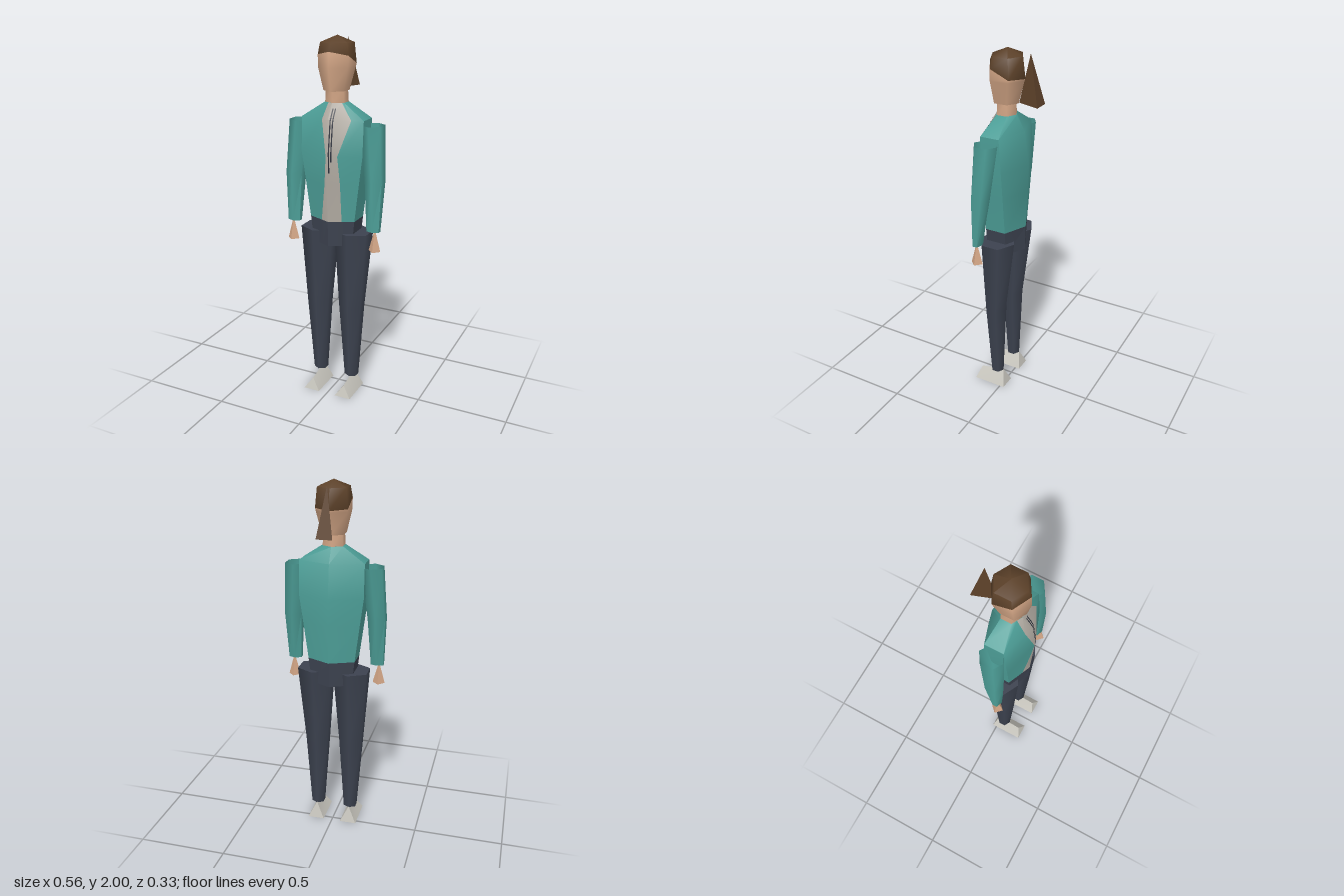
import * as THREE from 'three';
import { toCreasedNormals } from 'three/addons/utils/BufferGeometryUtils.js';

const mat = (name, color) => Object.assign(new THREE.MeshStandardMaterial({ color }), { name });

// Six-sided ring with its points on the z axis
const hex = (cx, y, cz, w, d) => [[0, 1], [1, 0.5], [1, -0.5], [0, -1], [-1, -0.5], [-1, 0.5]]
  .map(([a, b]) => new THREE.Vector3(cx + a * w, y, cz + b * d));

// Skin rings from bottom to top; pick(row, column) gives the material index
function loft(name, rings, materials, { pick = () => 0, bottom = true, top = true, crease = 1.2 } = {}) {
  const faces = materials.map(() => []);
  const n = rings[0].length;
  const last = rings.length - 1;
  for (let r = 0; r < last; r++) {
    for (let i = 0; i < n; i++) {
      const j = (i + 1) % n;
      const [a, b, c, d] = [rings[r][i], rings[r][j], rings[r + 1][j], rings[r + 1][i]];
      faces[pick(r, i)].push(a, b, c, a, c, d);
    }
  }
  for (let i = 1; i < n - 1; i++) {
    if (bottom) faces[pick(0, i)].push(rings[0][0], rings[0][i + 1], rings[0][i]);
    if (top) faces[pick(last - 1, i)].push(rings[last][0], rings[last][i], rings[last][i + 1]);
  }
  const geo = new THREE.BufferGeometry().setFromPoints(faces.flat());
  let start = 0;
  faces.forEach((f, m) => { geo.addGroup(start, f.length, m); start += f.length; });
  const mesh = new THREE.Mesh(toCreasedNormals(geo, crease), materials);
  mesh.name = name;
  return mesh;
}

export function createModel() {
  const teal = mat('jacket teal', 0x4c9d96);
  teal.side = THREE.DoubleSide;
  const shirt = mat('shirt grey', 0xb0aaa1);
  const navy = mat('trouser navy', 0x3c424f);
  const skin = mat('skin', 0xd2a585);
  const hair = mat('hair brown', 0x5c4129);
  const white = mat('shoe white', 0xc6c4bc);
  const dark = mat('zip dark', 0x2a2e3a);
  dark.side = THREE.DoubleSide;

  const model = new THREE.Group();
  model.name = 'person';

  // Torso levels: y, centre z, half width, half depth, shirt left x, shirt right x
  const levels = [
    [0.90, 0.027, 0.115, 0.112, -0.045, 0.065],
    [1.04, 0.027, 0.13, 0.115, -0.045, 0.068],
    [1.25, 0.028, 0.157, 0.124, -0.015, 0.065],
    [1.40, 0.029, 0.177, 0.13, -0.002, 0.055],
    [1.585, 0.028, 0.177, 0.105, -0.04, 0.115],
    [1.665, 0.026, 0.056, 0.058, -0.028, 0.045],
  ];
  const rings = levels.map(([y, cz, w, d, xl, xr]) => {
    const p = hex(0, y, cz, w, d);
    const edge = (corner, x) => p[0].clone().lerp(p[corner], Math.abs(x) / w);
    return [p[0], edge(1, xr), ...p.slice(1), edge(5, xl)];
  });
  model.add(loft('torso', rings, [teal, shirt, navy], {
    pick: (r, i) => (r === 0 ? 2 : i === 0 || i === 7 ? 1 : 0), crease: 0.8,
  }));

  // Front surface of the torso, for the zip lines
  const frontZ = (x, y) => {
    const k = Math.max(1, levels.findIndex((l) => l[0] >= y));
    const [a, b] = [levels[k - 1], levels[k]];
    const t = (y - a[0]) / (b[0] - a[0]);
    const at = (i) => a[i] + (b[i] - a[i]) * t;
    return at(1) + at(3) * (1 - 0.5 * Math.abs(x) / at(2));
  };
  for (const [x, y0, y1] of [[0.013, 1.40, 1.64], [0.025, 1.37, 1.64], [0.014, 1.31, 1.42]]) {
    const geo = new THREE.PlaneGeometry(0.006, y1 - y0, 1, 8).translate(x, (y0 + y1) / 2, 0);
    const p = geo.attributes.position;
    for (let i = 0; i < p.count; i++) p.setZ(i, frontZ(p.getX(i), p.getY(i)) + 0.004);
    geo.computeVertexNormals();
    const zip = new THREE.Mesh(geo, dark);
    zip.name = 'zip';
    model.add(zip);
  }

  // Neck
  model.add(loft('neck', [hex(0, 1.65, 0.026, 0.055, 0.057), hex(0, 1.75, 0.028, 0.05, 0.055)], [skin]));

  // Head, with a hairline that drops towards the back
  const hairline = hex(0, 1.9, 0.022, 0.086, 0.101);
  [1.925, 1.905, 1.86, 1.855, 1.86, 1.905].forEach((y, i) => { hairline[i].y = y; });
  model.add(loft('head', [
    hex(0, 1.725, 0.032, 0.057, 0.073),
    hex(0, 1.845, 0.026, 0.084, 0.1),
    hairline,
    hex(0, 1.965, 0.021, 0.077, 0.085),
    hex(0, 2.0, 0.021, 0.002, 0.002),
  ], [skin, hair], { pick: (r) => (r < 2 ? 0 : 1) }));

  // Ponytail: a three-sided spike
  const V = (x, y, z) => new THREE.Vector3(x, y, z);
  const tip = V(0, 1.985, -0.107);
  model.add(loft('ponytail', [
    [V(0, 1.73, -0.045), V(0.043, 1.73, -0.168), V(-0.043, 1.73, -0.168)],
    [tip, tip, tip],
  ], [hair], { top: false, crease: 0.5 }));

  for (const s of [1, -1]) {
    const side = s > 0 ? 'left' : 'right';

    // Sleeve, open at both ends
    model.add(loft(side + 'Sleeve', [
      hex(s * 0.236, 1.0, 0.073, 0.035, 0.025),
      hex(s * 0.233, 1.27, 0.054, 0.047, 0.055),
      hex(s * 0.208, 1.56, 0.032, 0.054, 0.067),
    ], [teal], { bottom: false, top: false }));

    // Hand: a small pyramid
    const hand = new THREE.Mesh(new THREE.ConeGeometry(0.034, 0.125, 4).toNonIndexed(), skin);
    hand.geometry.computeVertexNormals();
    hand.position.set(s * 0.245, 0.953, 0.075);
    hand.name = side + 'Hand';
    model.add(hand);

    // Trouser leg
    model.add(loft(side + 'Leg', [
      hex(s * 0.098, 0.09, 0.038, 0.035, 0.038),
      hex(s * 0.099, 0.53, 0.043, 0.064, 0.06),
      hex(s * 0.101, 0.97, 0.027, 0.094, 0.099),
    ], [navy]));

    // Shoe: a ridge over a rectangular sole
    const heel = V(s * 0.098, 0.095, 0);
    const toe = V(s * 0.098, 0.065, 0.145);
    const [x0, x1] = [s * 0.098 - 0.047, s * 0.098 + 0.047];
    model.add(loft(side + 'Shoe', [
      [V(x0, 0, 0.167), V(x1, 0, 0.167), V(x1, 0, -0.025), V(x0, 0, -0.025)],
      [toe, toe, heel, heel],
    ], [white], { top: false, crease: 0.6 }));
  }
  return model;
}
